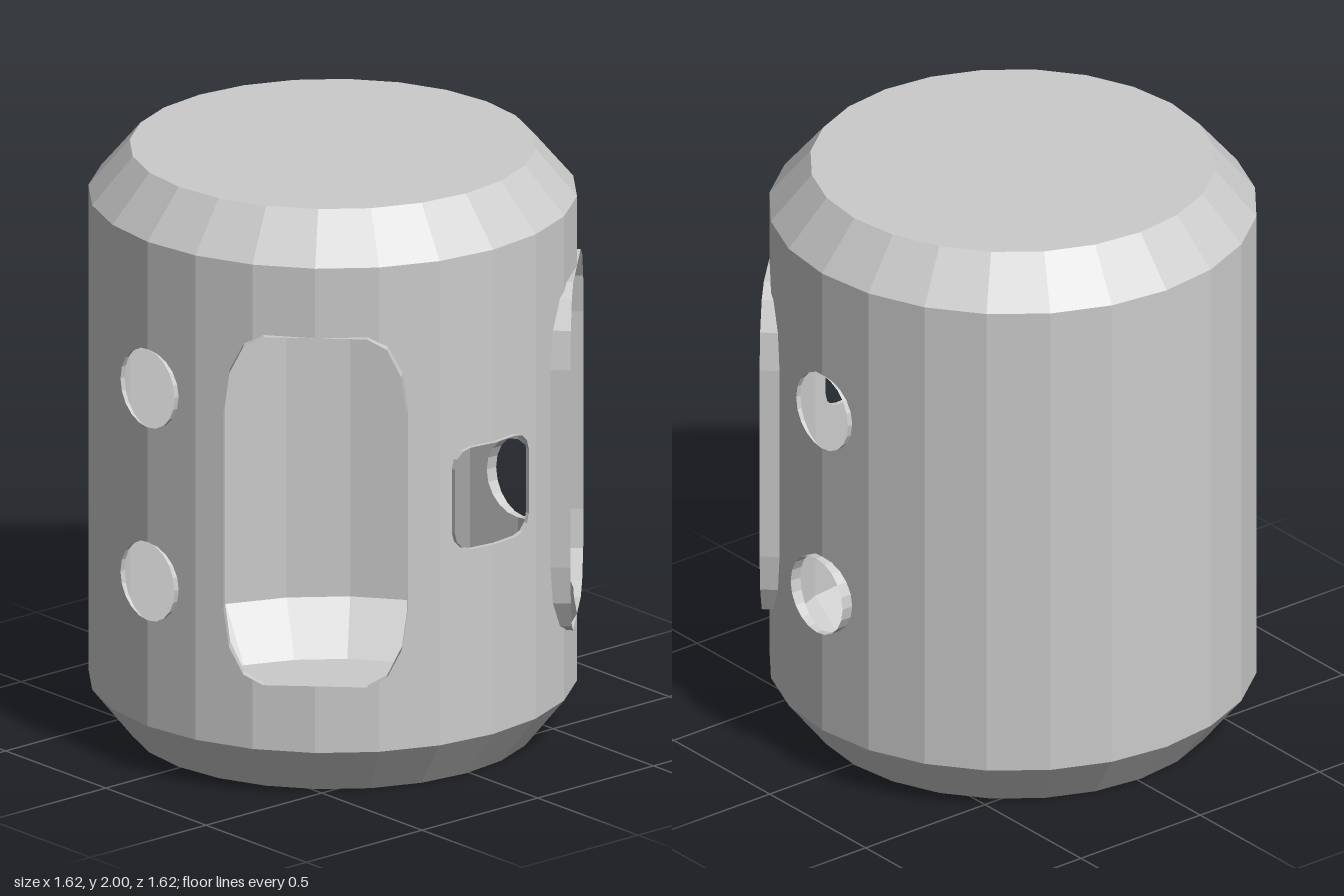
import * as THREE from 'three';

const SIDES = 24, R = 0.8, STEP = (Math.PI * 2) / SIDES;
const Y0 = 0.17, Y1 = 1.84;
const material = new THREE.MeshStandardMaterial({ color: 0xcccccc, flatShading: true, side: THREE.DoubleSide });

// Point on the faceted wall; u counts facets from the front towards +x
function wallXZ(u) {
  const k = Math.floor(u), t = u - k, a = k * STEP, b = a + STEP;
  return [
    R * (Math.sin(a) * (1 - t) + Math.sin(b) * t),
    R * (Math.cos(a) * (1 - t) + Math.cos(b) * t),
  ];
}

// Sideways offset s and depth d of a wall point, seen along the axis of an opening
function local(hole, u) {
  const [x, z] = wallXZ(u), a = hole.at * STEP;
  return { s: x * Math.cos(a) - z * Math.sin(a), d: x * Math.sin(a) + z * Math.cos(a) };
}

// Facet coordinate of the wall at sideways offset s
function facetAt(hole, s) {
  const m = Math.abs(s);
  let k = 0;
  while (R * Math.sin((k + 1) * STEP) <= m) k++;
  const a = R * Math.sin(k * STEP), b = R * Math.sin((k + 1) * STEP);
  return hole.at + Math.sign(s) * (k + (m - a) / (b - a));
}

// Half outline [offset, half height] of an opening with elliptical corners
function roundedProfile(w, h, rx, ry, segments) {
  const points = [[0, h]];
  for (let i = 0; i <= segments; i++) {
    const a = (i / segments) * Math.PI / 2;
    points.push([w - rx + rx * Math.sin(a), h - ry + ry * Math.cos(a)]);
  }
  return points;
}

function halfHeight(hole, s) {
  const m = Math.abs(s), p = hole.profile;
  for (let i = 1; i < p.length; i++) {
    if (m <= p[i][0] && p[i][0] > p[i - 1][0]) {
      const t = (m - p[i - 1][0]) / (p[i][0] - p[i - 1][0]);
      return p[i - 1][1] + (p[i][1] - p[i - 1][1]) * t;
    }
  }
  return p[p.length - 1][1];
}

const uniqueSorted = (list) =>
  list.sort((a, b) => a - b).filter((v, i) => i === 0 || v - list[i - 1] > 1e-6);

// Facet coordinates where an opening's outline bends
function breaks(hole) {
  const list = hole.profile.flatMap(([s]) => [facetAt(hole, s), facetAt(hole, -s)]);
  const lo = Math.min(...list), hi = Math.max(...list);
  for (let k = Math.ceil(lo); k <= hi; k++) list.push(k);
  return uniqueSorted(list);
}

function meshFrom(name, positions) {
  const geometry = new THREE.BufferGeometry();
  geometry.setAttribute('position', new THREE.Float32BufferAttribute(positions, 3));
  geometry.computeVertexNormals();
  const mesh = new THREE.Mesh(geometry, material);
  mesh.name = name;
  return mesh;
}

const quad = (out, a, b, c, d) => out.push(...a, ...b, ...c, ...a, ...c, ...d);

// Wall drawn in narrow columns that stop at every opening
function wall(holes) {
  const us = [];
  for (let k = -SIDES / 2; k <= SIDES / 2; k++) us.push(k);
  holes.forEach((hole) => us.push(...breaks(hole)));
  const columns = uniqueSorted(us), out = [];
  const point = (u, y) => { const [x, z] = wallXZ(u); return [x, y, z]; };
  for (let i = 0; i + 1 < columns.length; i++) {
    const u0 = columns[i], u1 = columns[i + 1], mid = (u0 + u1) / 2;
    let low = [Y0, Y0];
    holes
      .filter((h) => Math.abs(mid - h.at) < 3 && Math.abs(local(h, mid).s) < h.profile[h.profile.length - 1][0])
      .sort((a, b) => a.y - b.y)
      .forEach((h) => {
        const half = [u0, u1].map((u) => halfHeight(h, local(h, u).s));
        quad(out, point(u0, low[0]), point(u1, low[1]), point(u1, h.y - half[1]), point(u0, h.y - half[0]));
        low = [h.y + half[0], h.y + half[1]];
      });
    quad(out, point(u0, low[0]), point(u1, low[1]), point(u1, Y1), point(u0, Y1));
  }
  return meshFrom('wall', out);
}

// Thin rim from the wall out to a flat plane, or following the wall at a small lift
function rim(hole) {
  const us = breaks(hole), loop = [];
  const add = (u, side) => {
    const { s, d } = local(hole, u);
    loop.push({ s, d, y: hole.y + side * halfHeight(hole, s) });
  };
  us.forEach((u) => add(u, -1));
  us.reverse().forEach((u) => add(u, 1));
  const a = hole.at * STEP, out = [];
  const place = (p, d) => [p.s * Math.cos(a) + d * Math.sin(a), p.y, d * Math.cos(a) - p.s * Math.sin(a)];
  const outer = (p) => place(p, hole.lift ? p.d + hole.lift : hole.plane);
  loop.forEach((p, i) => {
    const q = loop[(i + 1) % loop.length];
    if (Math.hypot(p.s - q.s, p.y - q.y) < 1e-6) return;
    quad(out, place(p, p.d), place(q, q.d), outer(q), outer(p));
  });
  return meshFrom(hole.name, out);
}

function cap(name, points) {
  const geometry = new THREE.LatheGeometry(points.map(([r, y]) => new THREE.Vector2(r, y)), SIDES);
  const mesh = new THREE.Mesh(geometry, material);
  mesh.name = name;
  return mesh;
}

export function createModel() {
  const model = new THREE.Group();
  model.name = 'capsuleCabin';

  // Openings: front hatch, two tall windows, four round portholes
  const tall = roundedProfile(0.3, 0.6, 0.13, 0.26, 3);
  const round = roundedProfile(0.135, 0.135, 0.135, 0.135, 5);
  const holes = [{
    name: 'hatchRim', at: 0, y: 1.005, lift: 0.015,
    profile: roundedProfile(0.16, 0.175, 0.065, 0.065, 3),
  }];
  for (const side of [1, -1]) {
    const label = side > 0 ? 'left' : 'right';
    holes.push(
      { name: label + 'WindowRim', at: 3 * side, y: 1, plane: 0.8, profile: tall },
      { name: label + 'UpperPortholeRim', at: 6 * side, y: 1.335, plane: 0.8, profile: round },
      { name: label + 'LowerPortholeRim', at: 6 * side, y: 0.67, plane: side > 0 ? 0.823 : 0.8, profile: round },
    );
  }

  // Hollow body with chamfered ends
  model.add(wall(holes));
  model.add(cap('floor', [[0, 0], [0.665, 0], [R, Y0]]));
  model.add(cap('roof', [[R, Y1], [0.665, 2], [0, 2]]));
  holes.forEach((hole) => model.add(rim(hole)));

  model.children.forEach((part) => part.position.set(-0.013, 0, -0.008));
  return model;
}
